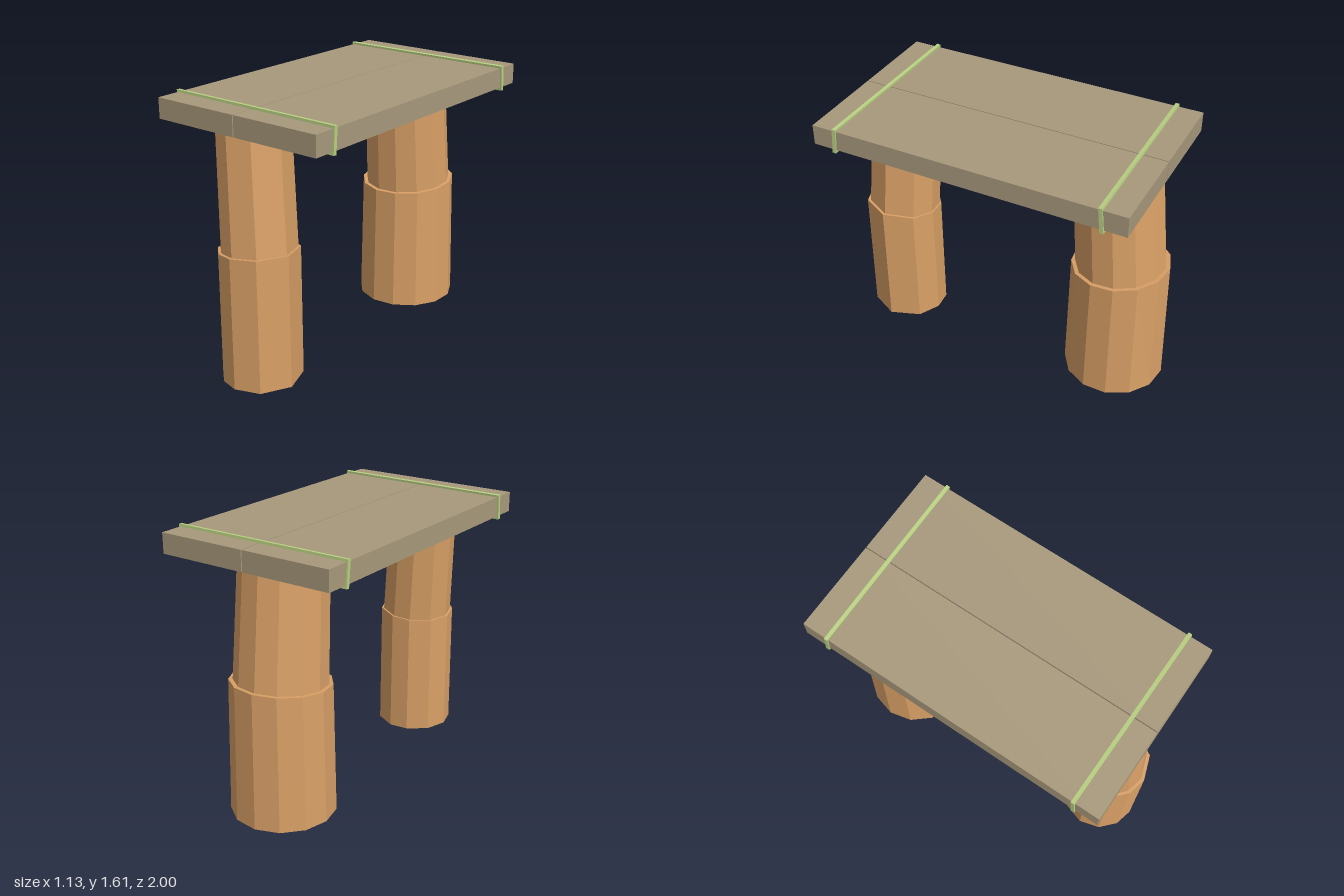
import * as THREE from 'three';

const wood = new THREE.MeshStandardMaterial({ color: 0xd9a066, flatShading: true });
const stone = new THREE.MeshStandardMaterial({ color: 0xa8997c, flatShading: true });
const cord = new THREE.MeshStandardMaterial({ color: 0xb9d082, flatShading: true });

// Closed log section between two rings; each ring is { x, y, z, r, sx, sz },
// where sx and sz are the slopes of its plane along x and z.
function logSection(name, angles, bottom, top) {
  const ringPoint = (ring, i) => {
    const a = THREE.MathUtils.degToRad(angles[i % angles.length]);
    const dx = ring.r * Math.cos(a), dz = ring.r * Math.sin(a);
    return [ring.x + dx, ring.y + dx * (ring.sx || 0) + dz * (ring.sz || 0), ring.z + dz];
  };
  const p = [];
  for (let i = 0; i < angles.length; i++) {
    const b0 = ringPoint(bottom, i), b1 = ringPoint(bottom, i + 1);
    const t0 = ringPoint(top, i), t1 = ringPoint(top, i + 1);
    p.push(...b0, ...t0, ...t1, ...b0, ...t1, ...b1);
    p.push(top.x, top.y, top.z, ...t1, ...t0);
    p.push(bottom.x, bottom.y, bottom.z, ...b0, ...b1);
  }
  const geometry = new THREE.BufferGeometry();
  geometry.setAttribute('position', new THREE.Float32BufferAttribute(p, 3));
  geometry.computeVertexNormals();
  const mesh = new THREE.Mesh(geometry, wood);
  mesh.name = name;
  return mesh;
}

// Thin rectangular loop wrapped around both planks
function band(name, z, tiltX, tiltY) {
  const rect = (path, w, h) => path.moveTo(-w, -h).lineTo(w, -h).lineTo(w, h).lineTo(-w, h).closePath();
  const shape = rect(new THREE.Shape(), 0.564, 0.076);
  shape.holes.push(rect(new THREE.Path(), 0.553, 0.06));
  const geometry = new THREE.ExtrudeGeometry(shape, { depth: 0.022, bevelEnabled: false });
  geometry.translate(0, 0, -0.011);
  const mesh = new THREE.Mesh(geometry, cord);
  mesh.name = name;
  mesh.position.set(0, 1.528, z);
  mesh.rotation.set(tiltX, tiltY, 0);
  return mesh;
}

export function createModel() {
  const group = new THREE.Group();
  group.name = 'bench';

  // Two planks with a narrow gap
  for (const side of [-1, 1]) {
    const plank = new THREE.Mesh(new THREE.BoxGeometry(0.552, 0.12, 1.88), stone);
    plank.name = side > 0 ? 'leftPlank' : 'rightPlank';
    plank.position.set(side * 0.279, 1.53, 0.01);
    group.add(plank);
  }

  // Cord bands, slightly crooked
  group.add(band('frontBand', 0.805, -0.07, -0.009), band('backBand', -0.782, 0.1, 0.006));

  // Front leg: narrow, unevenly cut log in two sections
  const frontAngles = [4, 51, 90, 118, 148, 180, 215, 250, 280, 316];
  group.add(
    logSection('frontLegLower', frontAngles,
      { x: -0.02, y: 0, z: 0.765, r: 0.235 },
      { x: -0.02, y: 0.785, z: 0.765, r: 0.232, sx: 0.07, sz: 0.05 }),
    logSection('frontLegUpper', frontAngles,
      { x: -0.02, y: 0.75, z: 0.762, r: 0.218, sx: 0.07, sz: 0.05 },
      { x: -0.07, y: 1.475, z: 0.728, r: 0.208, sx: 0.1, sz: 0.06 }));

  // Back leg: thick, rounder log in two sections
  const backAngles = Array.from({ length: 13 }, (_, i) => 264 + (i * 360) / 13);
  group.add(
    logSection('backLegLower', backAngles,
      { x: -0.05, y: 0.005, z: -0.695, r: 0.306 },
      { x: -0.05, y: 0.797, z: -0.693, r: 0.291, sz: -0.08 }),
    logSection('backLegUpper', backAngles,
      { x: -0.05, y: 0.76, z: -0.695, r: 0.268, sz: -0.08 },
      { x: -0.045, y: 1.47, z: -0.638, r: 0.25, sz: -0.1 }));

  return group;
}
